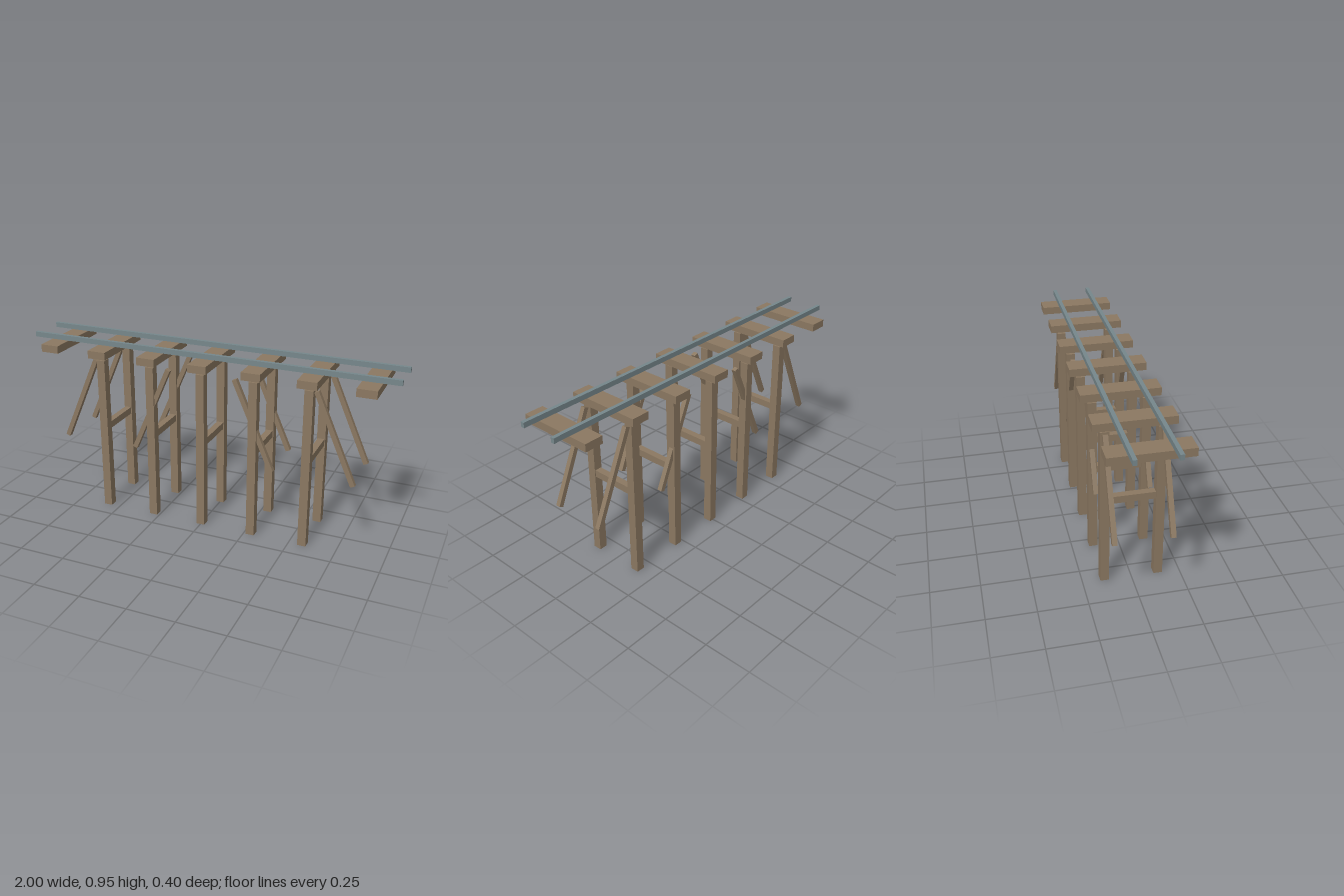
import * as THREE from 'three';

const wood = new THREE.MeshStandardMaterial({ color: 0x8b7861 });
wood.name = 'weathered wood';
const steel = new THREE.MeshStandardMaterial({ color: 0x76878b });
steel.name = 'rail steel';

export function createModel() {
  const model = new THREE.Group();
  model.name = 'railTrestle';

  function box(name, size, position, material = wood, tilt = 0) {
    const mesh = new THREE.Mesh(new THREE.BoxGeometry(...size), material);
    mesh.name = name;
    mesh.position.set(...position);
    mesh.rotation.z = tilt;
    model.add(mesh);
  }

  const spacing = 2 / 7;

  // Cross ties under the rails
  for (let i = -3; i <= 3; i++) {
    box('tie', [0.1, 0.041, 0.4], [i * spacing, 0.8975, 0]);
  }

  // Trestle bents: two posts joined by a cross beam
  for (let i = -2; i <= 2; i++) {
    const x = i * spacing;
    for (const side of [-1, 1]) {
      box('post', [0.045, 0.857, 0.045], [x, 0.4285, side * 0.1375]);
    }
    box('crossBeam', [0.036, 0.038, 0.27], [x, 0.4765, 0]);
  }

  for (const side of [-1, 1]) {
    // Rails
    box('rail', [2, 0.027, 0.02], [0, 0.9395, side * 0.1], steel);

    // Diagonal braces, leaning outward toward both ends
    for (const end of [-1, 1]) {
      for (const x of [0.286, 0.71]) {
        box('brace', [0.025, 0.51, 0.025], [end * x, 0.62, side * 0.1395], wood, end * 0.415);
      }
    }
  }

  return model;
}
